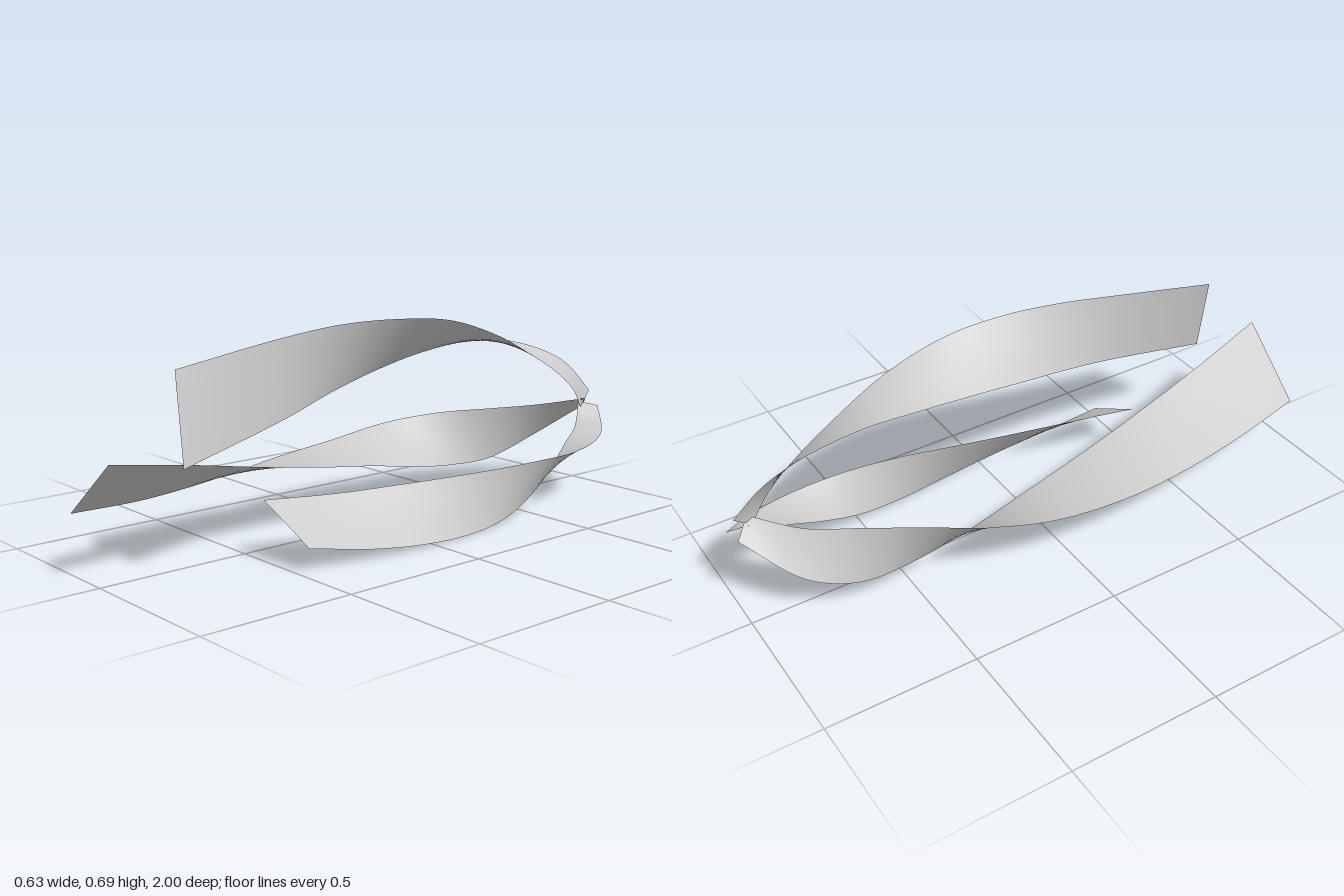
import * as THREE from 'three';

const material = new THREE.MeshStandardMaterial({ color: 0xcccccc, side: THREE.DoubleSide });

// Twisted strip ruled between two smooth edge curves, sampled front to back
function ribbon(name, outer, inner, along = 64, across = 4) {
  const [a, b] = [outer, inner].map(
    (pts) => new THREE.CatmullRomCurve3(pts.map((p) => new THREE.Vector3(...p)))
  );
  const geo = new THREE.PlaneGeometry(1, 1, across, along);
  const pos = geo.attributes.position;
  const v = new THREE.Vector3();
  for (let i = 0; i <= along; i++) {
    const p = a.getPoint(i / along);
    const q = b.getPoint(i / along);
    for (let j = 0; j <= across; j++) {
      v.lerpVectors(p, q, j / across);
      pos.setXYZ(i * (across + 1) + j, v.x, v.y, v.z);
    }
  }
  geo.computeVertexNormals();
  const mesh = new THREE.Mesh(geo, material);
  mesh.name = name;
  return mesh;
}

export function createModel() {
  const group = new THREE.Group();
  group.name = 'twistedRibbons';

  // Upper ribbon, medium length
  group.add(ribbon('upperRibbon',
    [[0.06, 0.605, 0.77], [0.088, 0.665, 0.4], [0.115, 0.688, 0.2], [0.148, 0.69, 0],
      [0.167, 0.67, -0.2], [0.177, 0.605, -0.4], [0.166, 0.525, -0.57], [0.142, 0.43, -0.75],
      [0.117, 0.355, -0.86], [0.097, 0.288, -0.92]],
    [[0.115, 0.33, 0.785], [0.085, 0.42, 0.4], [0.052, 0.47, 0.2], [0.022, 0.51, 0],
      [0.003, 0.542, -0.2], [-0.002, 0.56, -0.4], [0.012, 0.556, -0.58], [0.04, 0.505, -0.77],
      [0.06, 0.44, -0.89], [0.085, 0.34, -0.98]]));

  // Right-hand ribbon, the longest
  group.add(ribbon('rightRibbon',
    [[-0.175, 0.178, 0.987], [-0.23, 0.16, 0.7], [-0.283, 0.167, 0.4], [-0.315, 0.19, 0.15],
      [-0.31, 0.218, -0.1], [-0.272, 0.255, -0.3], [-0.19, 0.28, -0.48], [-0.095, 0.288, -0.65],
      [-0.01, 0.295, -0.8], [0.11, 0.32, -0.93]],
    [[0.075, 0.37, 1], [0.015, 0.312, 0.7], [-0.03, 0.25, 0.4], [-0.062, 0.203, 0.15],
      [-0.092, 0.163, -0.1], [-0.11, 0.125, -0.3], [-0.12, 0.1, -0.5], [-0.115, 0.1, -0.68],
      [-0.075, 0.16, -0.84], [0.055, 0.28, -0.985]]));

  // Left-hand ribbon, the shortest
  group.add(ribbon('leftRibbon',
    [[0.278, 0.075, 0.47], [0.303, 0.035, 0.25], [0.313, 0.012, 0.05], [0.303, 0.001, -0.15],
      [0.275, 0.008, -0.33], [0.235, 0.045, -0.5], [0.195, 0.11, -0.65], [0.155, 0.18, -0.77],
      [0.125, 0.23, -0.86], [0.078, 0.305, -0.93]],
    [[0.08, 0.183, 0.485], [0.145, 0.177, 0.25], [0.19, 0.178, 0.05], [0.235, 0.181, -0.15],
      [0.273, 0.186, -0.33], [0.293, 0.19, -0.5], [0.293, 0.192, -0.66], [0.265, 0.203, -0.8],
      [0.215, 0.225, -0.9], [0.11, 0.285, -1]]));

  return group;
}
